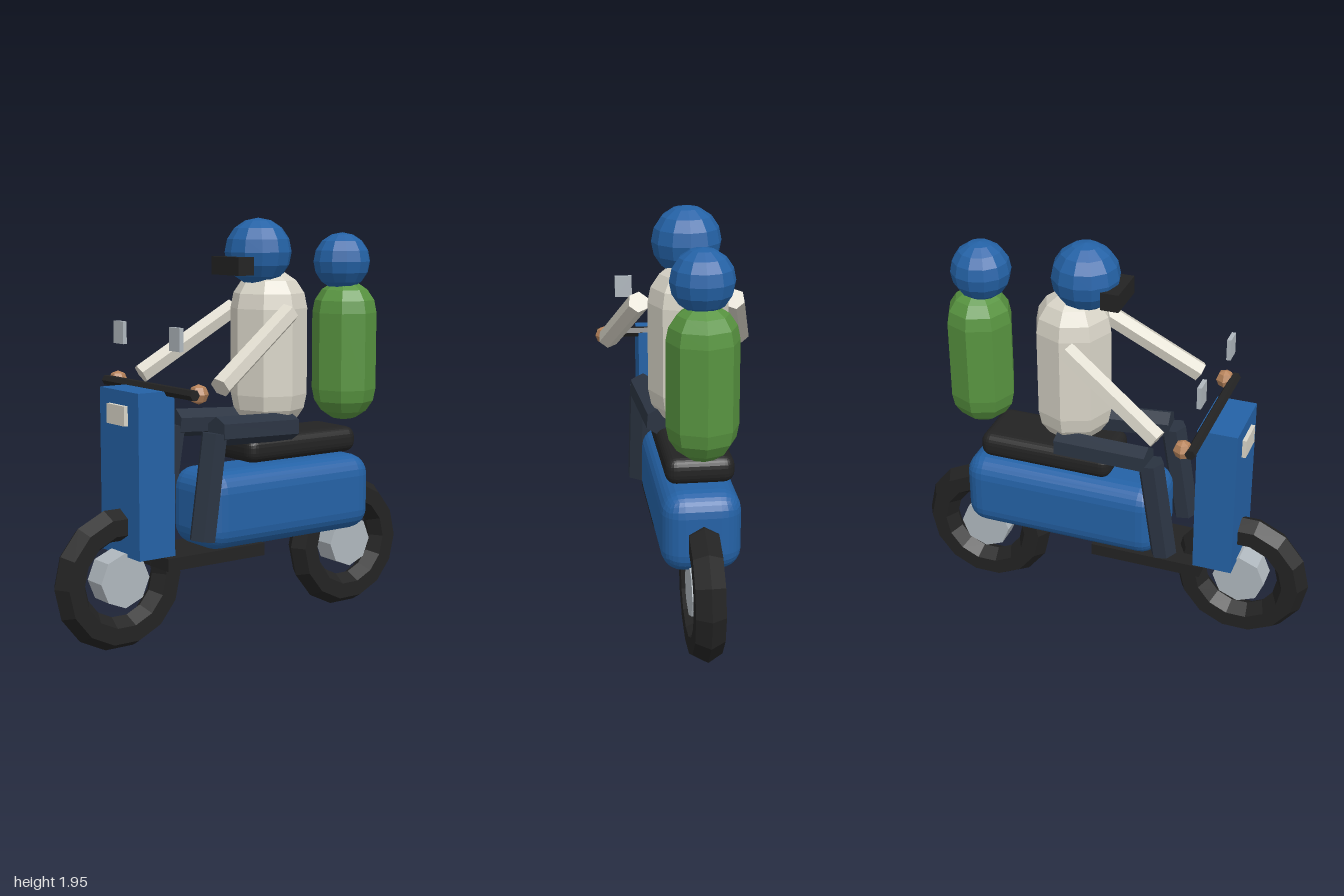
import * as THREE from 'three';
import { RoundedBoxGeometry } from 'three/addons/geometries/RoundedBoxGeometry.js';

const paint = (name, color) => {
  const m = new THREE.MeshStandardMaterial({ color, flatShading: true });
  m.name = name;
  return m;
};

export function createModel() {
  const blue = paint('blue paint', 0x2462a6);
  const black = paint('black rubber', 0x232323);
  const steel = paint('light steel', 0xb0b8be);
  const cream = paint('cream', 0xd9d5c8);
  const green = paint('green cloth', 0x589440);
  const navy = paint('dark navy cloth', 0x2b3442);
  const skin = paint('skin', 0xb8845c);

  const model = new THREE.Group();
  model.name = 'scooterWithRiders';

  const add = (name, geometry, material, x, y, z) => {
    const mesh = new THREE.Mesh(geometry, material);
    mesh.name = name;
    mesh.position.set(x, y, z);
    model.add(mesh);
    return mesh;
  };
  const box = (w, h, d) => new THREE.BoxGeometry(w, h, d);

  // Six-sided limb running from point a to point b
  const limb = (name, material, a, b, radius) => {
    const from = new THREE.Vector3(...a);
    const to = new THREE.Vector3(...b);
    const dir = to.clone().sub(from);
    const mid = from.clone().add(to).multiplyScalar(0.5);
    const mesh = add(name, new THREE.CylinderGeometry(radius, radius, dir.length(), 6), material, mid.x, mid.y, mid.z);
    mesh.quaternion.setFromUnitVectors(new THREE.Vector3(0, 1, 0), dir.normalize());
  };

  // Wheels: faceted tyre and hub
  for (const [end, z] of [['front', 0.667], ['rear', -0.667]]) {
    add(end + 'Tyre', new THREE.TorusGeometry(0.256, 0.077, 6, 14).rotateY(Math.PI / 2), black, 0, 0.325, z);
    add(end + 'Hub', new THREE.CylinderGeometry(0.128, 0.128, 0.12, 8).rotateZ(Math.PI / 2), steel, 0, 0.327, z);
  }

  // Scooter body
  add('frontShield', box(0.325, 0.755, 0.19), blue, 0, 0.812, 0.56);
  add('headlamp', box(0.15, 0.09, 0.03), cream, 0, 1.08, 0.659);
  add('footboard', box(0.3, 0.06, 0.55), black, 0, 0.39, 0.22);
  add('rearBody', new RoundedBoxGeometry(0.36, 0.375, 1.0, 3, 0.1), blue, 0, 0.597, -0.22);
  add('seat', new RoundedBoxGeometry(0.31, 0.125, 0.665, 3, 0.05), black, 0, 0.867, -0.298);
  add('handlebar', new THREE.CylinderGeometry(0.025, 0.025, 0.74, 6).rotateZ(Math.PI / 2), black, 0, 1.19, 0.495);

  // Rider
  add('riderTorso', new THREE.CapsuleGeometry(0.185, 0.41, 4, 8), cream, 0, 1.32, -0.19);
  add('riderHelmet', new THREE.SphereGeometry(0.16, 12, 8), blue, 0, 1.79, -0.126);
  add('visor', box(0.215, 0.085, 0.087), black, 0, 1.728, 0.024);

  // Passenger
  add('passengerTorso', new THREE.CapsuleGeometry(0.16, 0.38, 4, 8), green, 0, 1.293, -0.665);
  add('passengerHelmet', new THREE.SphereGeometry(0.142, 12, 8), blue, 0, 1.735, -0.645);

  // Mirrored parts
  for (const [side, s] of [['left', 1], ['right', -1]]) {
    add(side + 'Mirror', box(0.083, 0.105, 0.02), steel, s * 0.233, 1.425, 0.5);
    add(side + 'Hand', new THREE.SphereGeometry(0.045, 6, 4), skin, s * 0.335, 1.19, 0.452);
    limb(side + 'Arm', cream, [s * 0.325, 1.21, 0.33], [s * 0.22, 1.515, -0.14], 0.05);
    limb(side + 'Thigh', navy, [s * 0.17, 0.985, 0.24], [s * 0.135, 0.965, -0.22], 0.068);
    limb(side + 'Shin', navy, [s * 0.177, 0.488, 0.325], [s * 0.17, 0.978, 0.25], 0.064);
  }
  return model;
}
